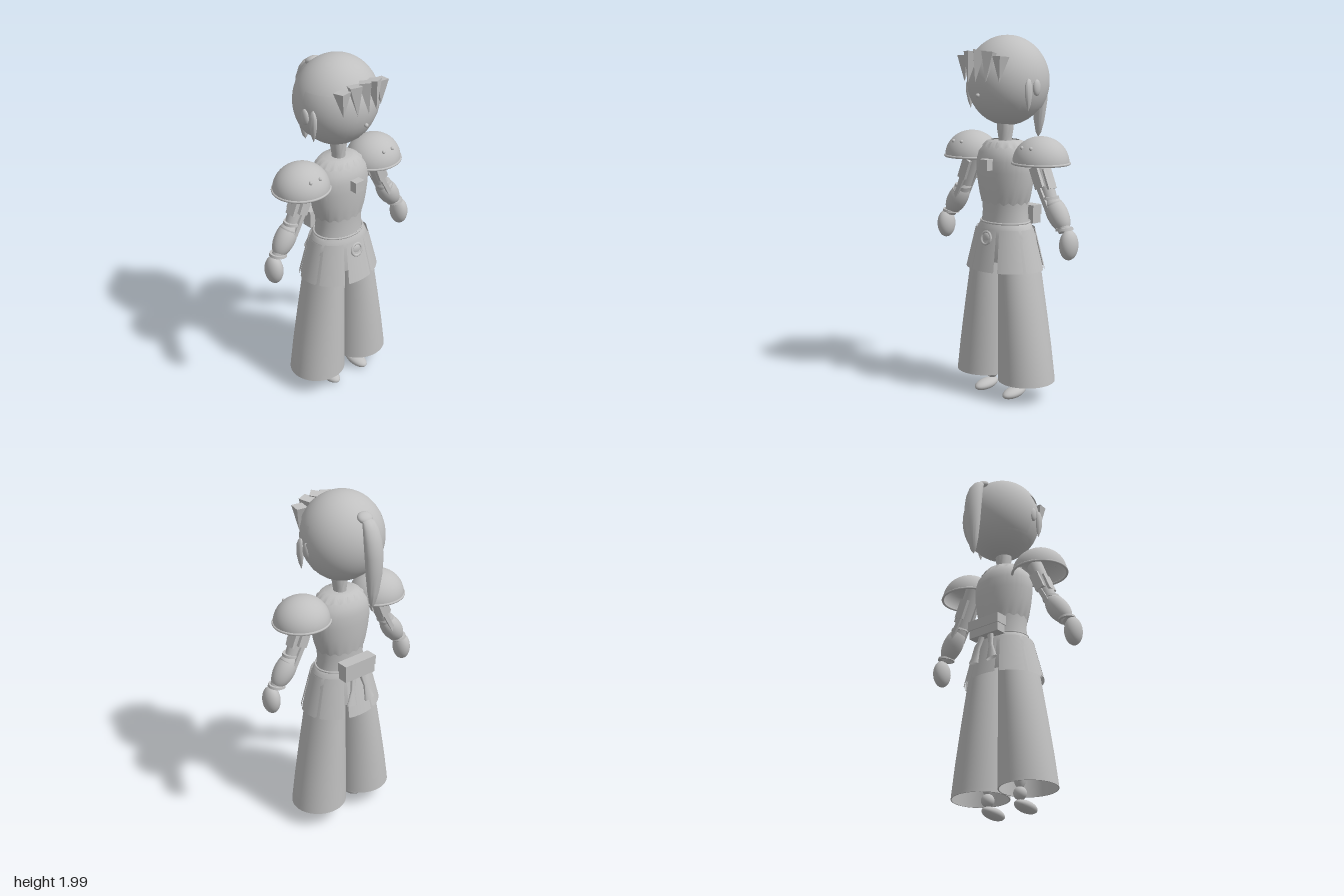
import * as THREE from 'three';
import { toCreasedNormals } from 'three/addons/utils/BufferGeometryUtils.js';

const CZ = 0.04; // depth of the body axis

export function createModel() {
  const model = new THREE.Group();
  const clay = new THREE.MeshStandardMaterial({ color: 0xc0c0c0, side: THREE.DoubleSide });
  clay.name = 'light grey';
  const V = (x, y, z) => new THREE.Vector3(x, y, z);
  const UP = V(0, 1, 0);

  function add(name, geo, x = 0, y = 0, z = 0, parent = model) {
    const m = new THREE.Mesh(geo, clay);
    m.name = name;
    m.position.set(x, y, z);
    parent.add(m);
    return m;
  }
  function ball(name, x, y, z, rx, ry, rz, parent = model) {
    const m = add(name, new THREE.SphereGeometry(1, 28, 18), x, y, z, parent);
    m.scale.set(rx, ry, rz);
    return m;
  }
  // tapered rod between two points
  function rod(name, a, b, ra, rb, parent) {
    const d = b.clone().sub(a), mid = a.clone().add(b).multiplyScalar(0.5);
    const m = add(name, new THREE.CylinderGeometry(rb, ra, d.length(), 24), mid.x, mid.y, mid.z, parent);
    m.quaternion.setFromUnitVectors(UP, d.normalize());
    return m;
  }
  // skin over elliptical rings [y, rx, rz, cx, cz, wave], listed from bottom to top
  function loft(rings, n = 48) {
    const pos = [], idx = [];
    rings.forEach(([y, rx, rz, cx = 0, cz = CZ, wave = 0], i) => {
      for (let k = 0; k < n; k++) {
        const a = k / n * Math.PI * 2;
        pos.push(cx + rx * Math.sin(a), y + wave * Math.cos(a * 16), cz + rz * Math.cos(a));
        if (i === rings.length - 1) continue;
        const p = i * n + k, q = i * n + (k + 1) % n;
        idx.push(p, q, q + n, p, q + n, p + n);
      }
    });
    const g = new THREE.BufferGeometry();
    g.setAttribute('position', new THREE.Float32BufferAttribute(pos, 3));
    g.setIndex(idx);
    return toCreasedNormals(g, 0.7);
  }

  // head, nose, hair shell
  const HY = 1.757, HZ = 0.022;
  ball('head', 0, HY, HZ, 0.223, 0.24, 0.219);
  ball('nose', 0, 1.687, 0.25, 0.011, 0.011, 0.011);
  const hairTop = add('hairTop', new THREE.SphereGeometry(1, 48, 20, 0, Math.PI * 2, 0, Math.acos(0.42)), 0, HY, HZ);
  const hairBack = add('hairBack', new THREE.SphereGeometry(1, 32, 20, Math.PI, Math.PI, Math.acos(0.42),
    Math.acos(-0.6) - Math.acos(0.42)), 0, HY, HZ);
  for (const h of [hairTop, hairBack]) h.scale.set(0.231, 0.243, 0.223);

  // fringe of four-sided spikes, points down and leaning forward
  for (let i = -2; i <= 2; i++) {
    const k = Math.abs(i), turn = i * 0.28;
    const base = V(i * 0.065, 1.92 - 0.012 * k * k * 0.6, 0.237 - 0.007 * k * k);
    const tip = V(i * 0.064, 1.755, 0.268 - 0.012 * k * k);
    const d = tip.clone().sub(base), len = d.length();
    const g = new THREE.ConeGeometry(0.045, len, 4).toNonIndexed();
    g.computeVertexNormals();
    g.rotateY(turn);
    const c = base.add(tip).multiplyScalar(0.5);
    const m = add('fringeSpike', g, c.x, c.y, c.z);
    m.quaternion.setFromUnitVectors(UP, d.normalize());
  }

  // ponytail and its knot
  ball('hairKnot', 0, 1.915, -0.163, 0.043, 0.022, 0.038).rotation.x = -0.5;
  add('ponytail', loft([[1.435, 0.001, 0.001, 0, -0.228], [1.46, 0.018, 0.012, 0, -0.23],
    [1.53, 0.034, 0.025, 0, -0.235], [1.63, 0.047, 0.036, 0, -0.239], [1.73, 0.053, 0.041, 0, -0.238],
    [1.81, 0.052, 0.039, 0, -0.227], [1.87, 0.045, 0.033, 0, -0.21], [1.905, 0.034, 0.027, 0, -0.19],
    [1.925, 0.001, 0.001, 0, -0.17]], 28));

  // neck and torso with wavy collar and hem
  add('neck', loft([[1.42, 0.034, 0.037], [1.46, 0.037, 0.04], [1.5, 0.045, 0.045], [1.54, 0.046, 0.046]], 28));
  add('chest', loft([[1.1, 0.143, 0.114, 0, CZ, 0.007], [1.14, 0.157, 0.12], [1.2, 0.169, 0.127],
    [1.27, 0.179, 0.131], [1.33, 0.18, 0.131], [1.375, 0.163, 0.122], [1.41, 0.13, 0.1],
    [1.432, 0.1, 0.078], [1.436, 0.034, 0.034]], 96));
  add('collar', loft([[1.405, 0.14, 0.108, 0, CZ, 0.005], [1.432, 0.112, 0.09], [1.44, 0.085, 0.068]], 96));
  add('waist', loft([[0.98, 0.145, 0.113], [1.05, 0.137, 0.108], [1.12, 0.143, 0.112]]));
  add('badge', new THREE.BoxGeometry(0.06, 0.06, 0.045), 0, 1.315, 0.19);

  // hips, belt and flared skirt flaps
  add('hips', loft([[0.78, 0.19, 0.125], [0.93, 0.182, 0.137], [0.975, 0.16, 0.125], [0.995, 0.146, 0.116],
    [1.0, 0.13, 0.1]]));
  const belt = add('belt', new THREE.TorusGeometry(0.147, 0.006, 8, 48), 0, 0.993, CZ);
  belt.rotation.x = Math.PI / 2;
  belt.scale.y = 0.8;
  for (let i = 0; i < 8; i++) {
    const half = 0.335, a = i * Math.PI / 4;
    for (const t of [0, 0.01]) {
      const g = new THREE.CylinderGeometry(0.178 - t, 0.237 - t, 0.225, 8, 1, true, a - half, half * 2);
      add('skirtFlap', g.scale(1, 1, 0.81), 0, 0.848, CZ);
    }
  }
  const ring = add('beltRing', new THREE.TorusGeometry(0.034, 0.008, 10, 28), 0, 0.915, 0.19);
  ring.rotation.x = -0.2;
  ball('beltButton', 0, 0.915, 0.186, 0.03, 0.03, 0.012);

  // pouch at the back with hanging tails
  add('pouch', new THREE.BoxGeometry(0.2, 0.1, 0.06), 0, 1.02, -0.108);
  add('pouchFlap', new THREE.BoxGeometry(0.21, 0.055, 0.07), 0, 1.045, -0.108);
  for (const s of [-1, 1]) {
    const tail = add('pouchTail', loft([[-0.09, 0.034, 0.012, 0, 0], [0, 0.012, 0.01, 0, 0], [0.07, 0.02, 0.012, 0, 0]], 16),
      s * 0.045, 0.9, -0.128);
    tail.rotation.set(0.18, 0, s * 0.2);
  }

  for (const s of [-1, 1]) {
    const limb = (name) => {
      const g = new THREE.Group();
      g.name = name;
      model.add(g);
      return g;
    };
    // ear and sidelock
    ball('ear', s * 0.222, 1.727, 0.033, 0.016, 0.043, 0.026);
    add('sidelock', loft([[1.605, 0.001, 0.001, s * 0.214, 0.09], [1.64, 0.01, 0.014, s * 0.217, 0.091],
      [1.69, 0.016, 0.023, s * 0.219, 0.093], [1.74, 0.014, 0.023, s * 0.219, 0.093],
      [1.768, 0.008, 0.013, s * 0.217, 0.09], [1.777, 0.001, 0.001, s * 0.215, 0.088]], 20));

    // hollow shoulder dome with rim and rivets
    const shoulder = limb('shoulderGuard');
    shoulder.position.set(s * 0.258, 1.335, 0.038);
    for (const t of [0, 0.008]) {
      const dome = add('dome', new THREE.SphereGeometry(1, 40, 14, 0, Math.PI * 2, 0, Math.PI / 2), 0, 0, 0, shoulder);
      dome.scale.set(0.156 - t, 0.14 - t, 0.147 - t);
    }
    const rim = add('rim', new THREE.TorusGeometry(0.156, 0.007, 10, 48), 0, -0.002, 0, shoulder);
    rim.rotation.x = Math.PI / 2;
    rim.scale.y = 0.945;
    for (const x of [-0.032, 0.032]) ball('rivet', x, 0.084, 0.114, 0.01, 0.01, 0.01, shoulder);

    // arm: upper arm with plates, elbow cuff, forearm, wrist cuff, hand
    const arm = limb('arm');
    const top = V(s * 0.225, 1.39, 0.04), elbow = V(s * 0.335, 1.13, 0.04), wrist = V(s * 0.435, 0.99, 0.045);
    rod('upperArm', top, elbow, 0.044, 0.038, arm);
    for (const z of [0.085, -0.005]) {
      add('armPlate', new THREE.BoxGeometry(0.055, 0.115, 0.02), s * 0.272, 1.26, z, arm).rotation.z = s * 0.4;
      add('armStrap', new THREE.BoxGeometry(0.025, 0.13, 0.014), s * 0.318, 1.15, z, arm).rotation.z = s * 0.5;
    }
    add('outerPlate', new THREE.BoxGeometry(0.014, 0.11, 0.06), s * 0.318, 1.255, 0.04, arm).rotation.z = s * 0.4;
    const fore = ball('forearm', s * 0.378, 1.075, 0.04, 0.058, 0.108, 0.057, arm);
    fore.quaternion.setFromUnitVectors(UP, wrist.clone().sub(elbow).normalize());
    rod('lowerForearm', V(s * 0.35, 1.12, 0.04), wrist, 0.05, 0.034, arm);
    for (const [x, y, r] of [[0.33, 1.155, 0.046], [0.43, 1.0, 0.046]]) {
      const cuff = add('cuff', new THREE.CylinderGeometry(r, r * 1.05, 0.014, 28), s * x, y, 0.043, arm);
      cuff.rotation.z = s * 0.12;
    }
    ball('hand', s * 0.465, 0.92, 0.048, 0.046, 0.08, 0.057, arm);

    // wide trouser leg, open at the hem, with the leg and shoe inside
    const leg = limb('leg');
    add('trouserLeg', loft([[0.115, 0.154, 0.15, s * 0.161], [0.115, 0.16, 0.156, s * 0.16],
      [0.135, 0.159, 0.155, s * 0.159], [0.3, 0.147, 0.149, s * 0.147], [0.5, 0.13, 0.14, s * 0.13],
      [0.75, 0.107, 0.128, s * 0.107], [0.93, 0.088, 0.115, s * 0.088]]), 0, 0, 0, leg);
    ball('calf', s * 0.108, 0.27, 0.037, 0.045, 0.15, 0.045, leg);
    ball('thigh', s * 0.1, 0.58, 0.037, 0.055, 0.2, 0.055, leg);
    ball('ankle', s * 0.108, 0.1, 0.037, 0.036, 0.036, 0.036, leg);
    ball('shoe', s * 0.108, 0.039, 0.084, 0.044, 0.03, 0.083, leg).rotation.x = 0.1;
  }
  return model;
}
